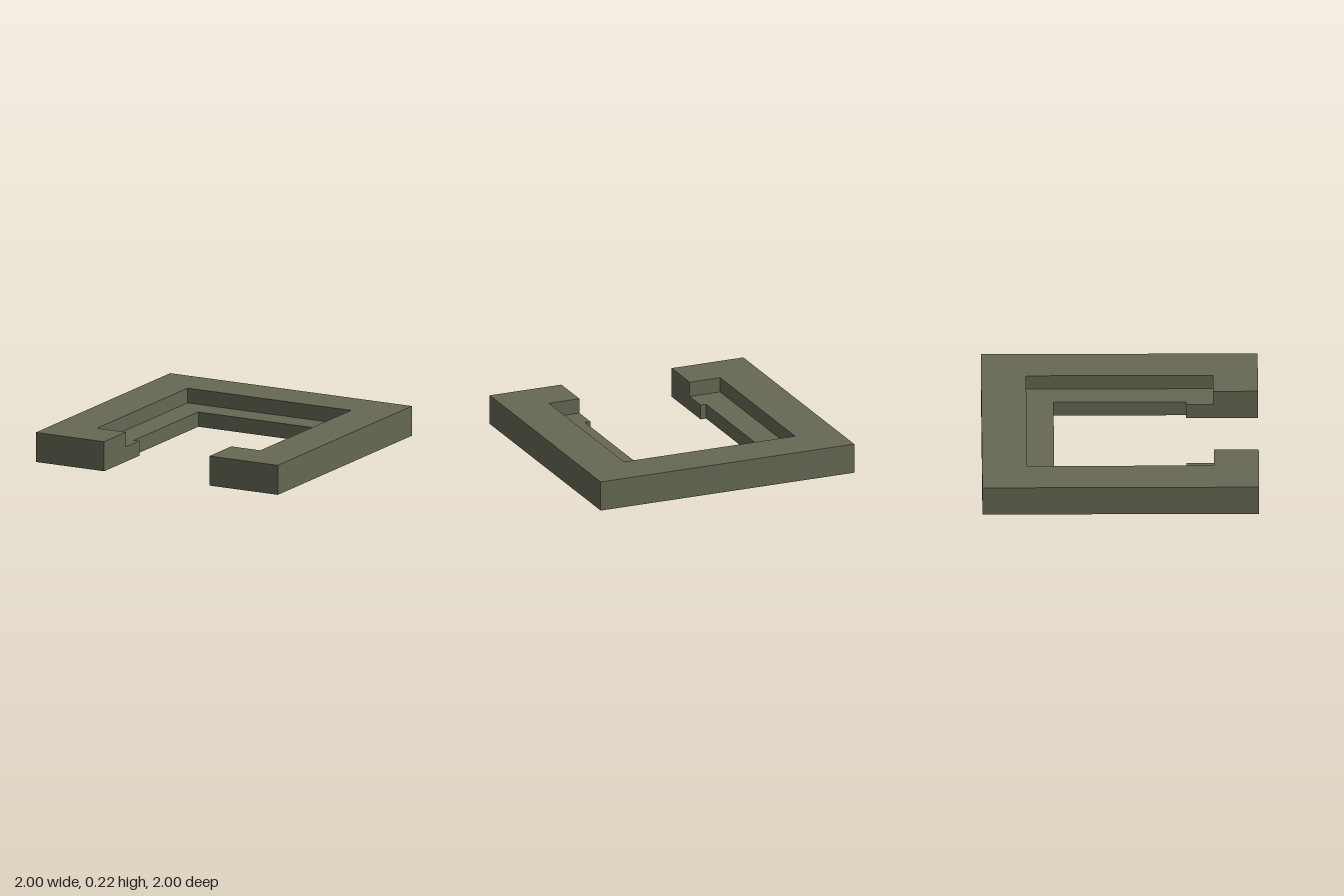
import * as THREE from 'three';

const HEIGHT = 0.22, LEDGE = 0.11;
const SLOT = 0.435, RECESS = 0.675, HOLE = 0.478;

// Outline runs as [x, z], always with the solid on the same side
const outer = [[SLOT, RECESS], [SLOT, 1], [1, 1], [1, -1], [-1, -1], [-1, 1], [-SLOT, 1], [-SLOT, RECESS]];
const recess = [[-SLOT, RECESS], [-RECESS, RECESS], [-RECESS, -RECESS], [RECESS, -RECESS], [RECESS, RECESS], [SLOT, RECESS]];
const opening = [[-SLOT, RECESS], [-SLOT, HOLE], [-HOLE, HOLE], [-HOLE, -HOLE], [HOLE, -HOLE], [HOLE, HOLE], [SLOT, HOLE], [SLOT, RECESS]];

// Vertical faces along a run of points
function wall(path, y0, y1) {
  const positions = [];
  for (let i = 0; i < path.length - 1; i++) {
    const [ax, az] = path[i], [bx, bz] = path[i + 1];
    positions.push(ax, y0, az, bx, y0, bz, bx, y1, bz);
    positions.push(ax, y0, az, bx, y1, bz, ax, y1, az);
  }
  const geometry = new THREE.BufferGeometry();
  geometry.setAttribute('position', new THREE.Float32BufferAttribute(positions, 3));
  geometry.computeVertexNormals();
  return geometry;
}

// Horizontal face inside a closed outline, facing up or down
function cap(points, y, up) {
  const sign = up ? -1 : 1;
  const shape = new THREE.Shape(points.map(([x, z]) => new THREE.Vector2(x, sign * z)));
  return new THREE.ShapeGeometry(shape).rotateX(sign * Math.PI / 2).translate(0, y, 0);
}

// Joins two runs that share both end points into one loop
const loop = (a, b) => [...a, ...b.slice(1, -1)];

export function createModel() {
  const group = new THREE.Group();
  group.name = 'steppedFrame';
  const olive = new THREE.MeshStandardMaterial({ color: 0x666854 });
  olive.name = 'olive grey';

  const add = (name, geometry) => {
    const mesh = new THREE.Mesh(geometry, olive);
    mesh.name = name;
    group.add(mesh);
  };

  add('outerWalls', wall(outer, 0, HEIGHT));
  add('recessWalls', wall(recess, LEDGE, HEIGHT));
  add('openingWalls', wall(opening, 0, LEDGE));
  add('topFace', cap(loop(outer, recess), HEIGHT, true));
  add('ledge', cap(loop(opening, [...recess].reverse()), LEDGE, true));
  add('bottomFace', cap(loop(outer, opening), 0, false));
  return group;
}
